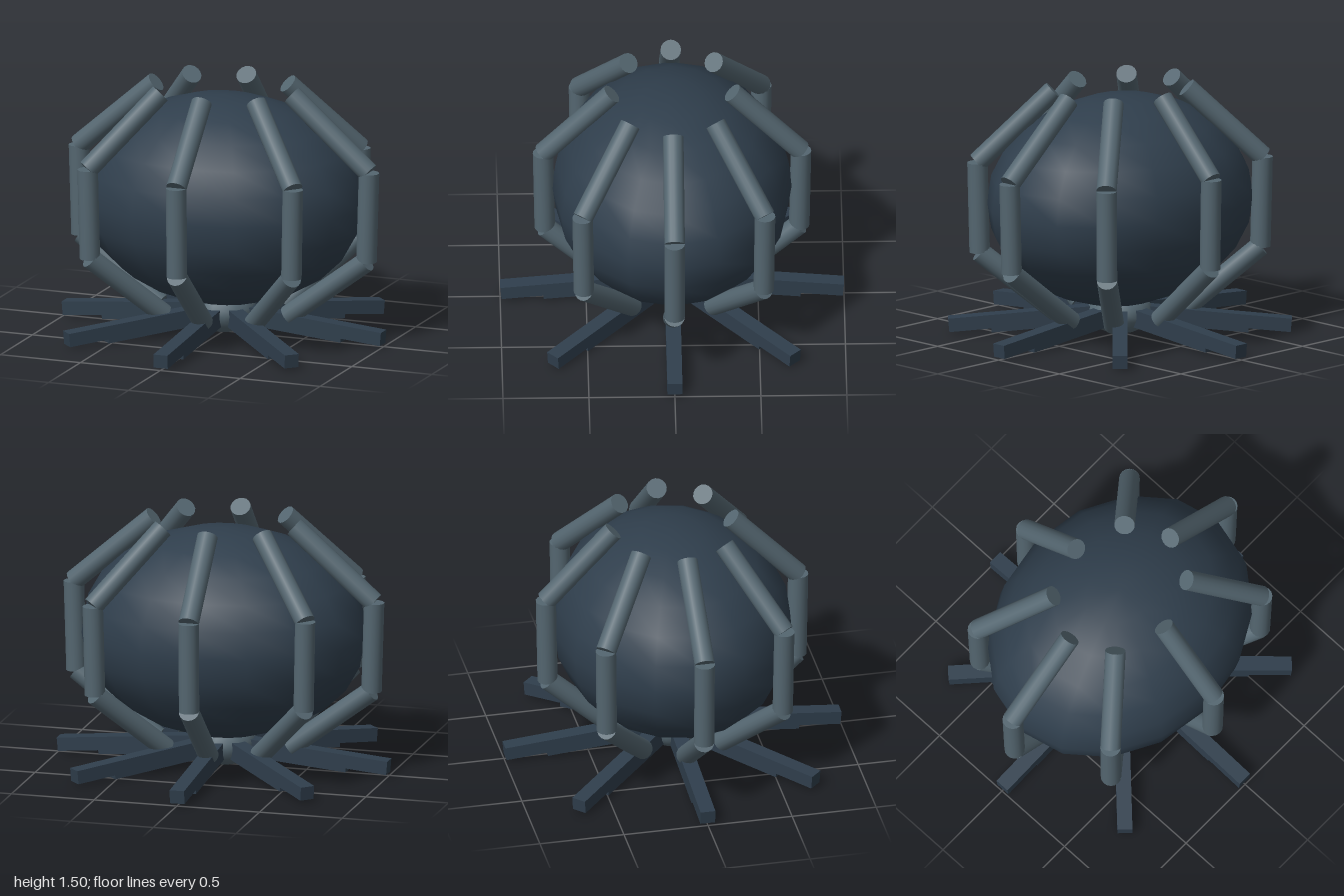
import * as THREE from 'three';

const shell = new THREE.MeshStandardMaterial({ color: 0x2f3e4c });
const metal = new THREE.MeshStandardMaterial({ color: 0x546670 });

function ellipsoid(name, material, rx, ry, rz, y) {
  const mesh = new THREE.Mesh(new THREE.SphereGeometry(1, 16, 12), material);
  mesh.name = name;
  mesh.scale.set(rx, ry, rz);
  mesh.position.y = y;
  return mesh;
}

// Flat-ended rod between two points
function rod(name, a, b, radius) {
  const dir = b.clone().sub(a);
  const mesh = new THREE.Mesh(new THREE.CylinderGeometry(radius, radius, dir.length(), 16), metal);
  mesh.name = name;
  mesh.position.copy(a).add(b).multiplyScalar(0.5);
  mesh.quaternion.setFromUnitVectors(new THREE.Vector3(0, 1, 0), dir.normalize());
  return mesh;
}

// Square bar sloping down from the hub; its outer end is at the given radius
function bar(name, outerRadius, endY) {
  const innerRadius = 0.08, slope = 0.09;
  const length = (outerRadius - innerRadius) * Math.hypot(1, slope);
  const mesh = new THREE.Mesh(new THREE.BoxGeometry(length, 0.08, 0.088), shell);
  mesh.name = name;
  mesh.position.set((innerRadius + outerRadius) / 2, endY + slope * (outerRadius - innerRadius) / 2, 0);
  mesh.rotation.z = -Math.atan(slope);
  return mesh;
}

export function createModel() {
  const model = new THREE.Group();
  model.name = 'cagedOrb';

  model.add(ellipsoid('body', shell, 0.85, 0.62, 0.7, 0.81));
  model.add(ellipsoid('hub', metal, 0.19, 0.13, 0.19, 0.14));

  // Joints of a cage arm, top to bottom: x radius, height, z radius
  const joints = [
    [0.425, 1.465, 0.35],
    [0.908, 1.045, 0.75],
    [0.892, 0.51, 0.74],
    [0.4, 0.14, 0.33],
  ];
  const rodNames = ['upperRod', 'middleRod', 'lowerRod'];

  for (let i = 0; i < 8; i++) {
    const angle = (i * Math.PI) / 4;

    // Three-part arm following the oval body
    const arm = new THREE.Group();
    arm.name = 'cageArm' + (i + 1);
    const points = joints.map(([rx, y, rz]) =>
      new THREE.Vector3(rx * Math.cos(angle), y, rz * Math.sin(angle)));
    rodNames.forEach((name, k) => arm.add(rod(name, points[k], points[k + 1], 0.06)));
    model.add(arm);

    // Foot made of a long bar with a shorter one under it
    const foot = new THREE.Group();
    foot.name = 'foot' + (i + 1);
    foot.add(bar('longBar', 0.996, 0.062), bar('shortBar', 0.75, 0.06));
    foot.rotation.y = angle;
    model.add(foot);
  }
  return model;
}
